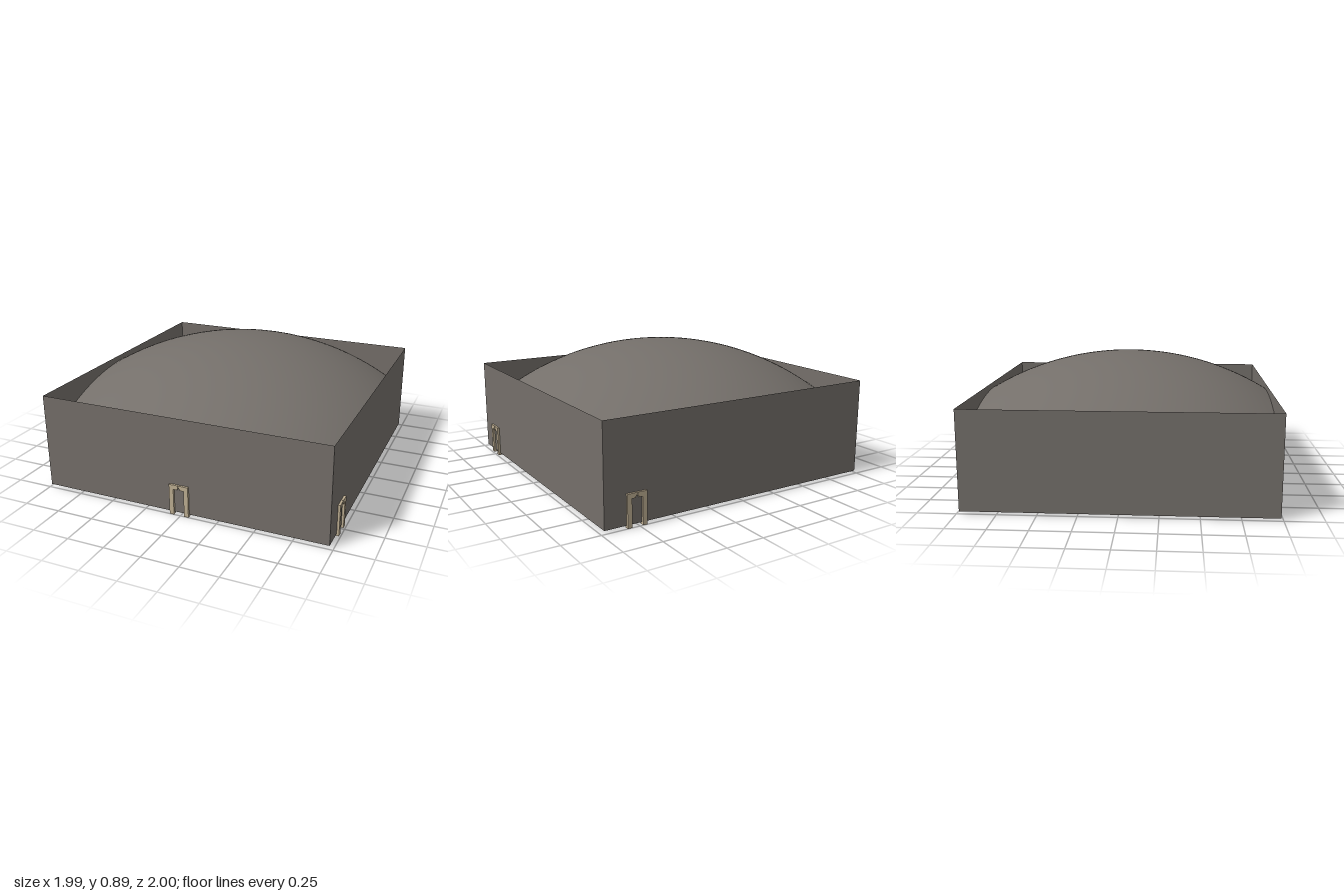
import * as THREE from 'three';

const CX = -0.01, HALF = 0.985, BASE = 0.02, WALL_TOP = 0.665;
const DOME_TOP = 0.893, RADIUS = 1.95;

export function createModel() {
  const model = new THREE.Group();
  const stone = new THREE.MeshStandardMaterial({ color: 0x746f6a, side: THREE.DoubleSide });
  stone.name = 'dark stone';
  const trim = new THREE.MeshStandardMaterial({ color: 0xbeae92 });
  trim.name = 'tan trim';

  const add = (parent, name, geometry, material, x = 0, y = 0, z = 0) => {
    const mesh = new THREE.Mesh(geometry, material);
    mesh.name = name;
    mesh.position.set(x, y, z);
    parent.add(mesh);
    return mesh;
  };

  // Four thin walls, open at the top
  const height = WALL_TOP - BASE;
  ['frontWall', 'leftWall', 'backWall', 'rightWall'].forEach((name, i) => {
    const angle = i * Math.PI / 2;
    const wall = add(model, name, new THREE.PlaneGeometry(2 * HALF, height), stone,
      CX + HALF * Math.sin(angle), BASE + height / 2, HALF * Math.cos(angle));
    wall.rotation.y = angle;
  });

  // Floor slab closing the underside
  const floor = add(model, 'floor', new THREE.PlaneGeometry(2 * HALF, 2 * HALF), stone, CX, BASE, 0);
  floor.rotation.x = Math.PI / 2;

  // Shallow spherical roof, trimmed square by the walls
  const dome = new THREE.PlaneGeometry(2 * HALF, 2 * HALF, 48, 48).rotateX(-Math.PI / 2);
  const p = dome.attributes.position;
  for (let i = 0; i < p.count; i++) {
    const x = p.getX(i), z = p.getZ(i);
    p.setY(i, DOME_TOP - RADIUS + Math.sqrt(RADIUS * RADIUS - x * x - z * z));
  }
  dome.computeVertexNormals();
  add(model, 'domeRoof', dome, stone, CX, 0, 0);

  // Door frame: two posts, a recessed lintel and small corner brackets
  const doorway = (name, x, z, angle) => {
    const frame = new THREE.Group();
    frame.name = name;
    for (const side of [-1, 1]) {
      add(frame, 'post', new THREE.BoxGeometry(0.03, 0.21, 0.03), trim, side * 0.051, 0.11, 0);
      add(frame, 'bracket', new THREE.BoxGeometry(0.026, 0.014, 0.026), trim, side * 0.023, 0.19, 0);
      add(frame, 'lintel', new THREE.BoxGeometry(0.032, 0.022, 0.028), trim, side * 0.02, 0.204, 0);
    }
    add(frame, 'keystone', new THREE.BoxGeometry(0.014, 0.016, 0.018), trim, 0, 0.206, 0);
    frame.position.set(x, 0, z);
    frame.rotation.y = angle;
    model.add(frame);
  };
  doorway('frontDoorway', CX, HALF, 0);
  doorway('sideDoorway', CX + HALF, 0.773, Math.PI / 2);
  doorway('backDoorway', 0.765, -HALF, Math.PI);

  return model;
}
